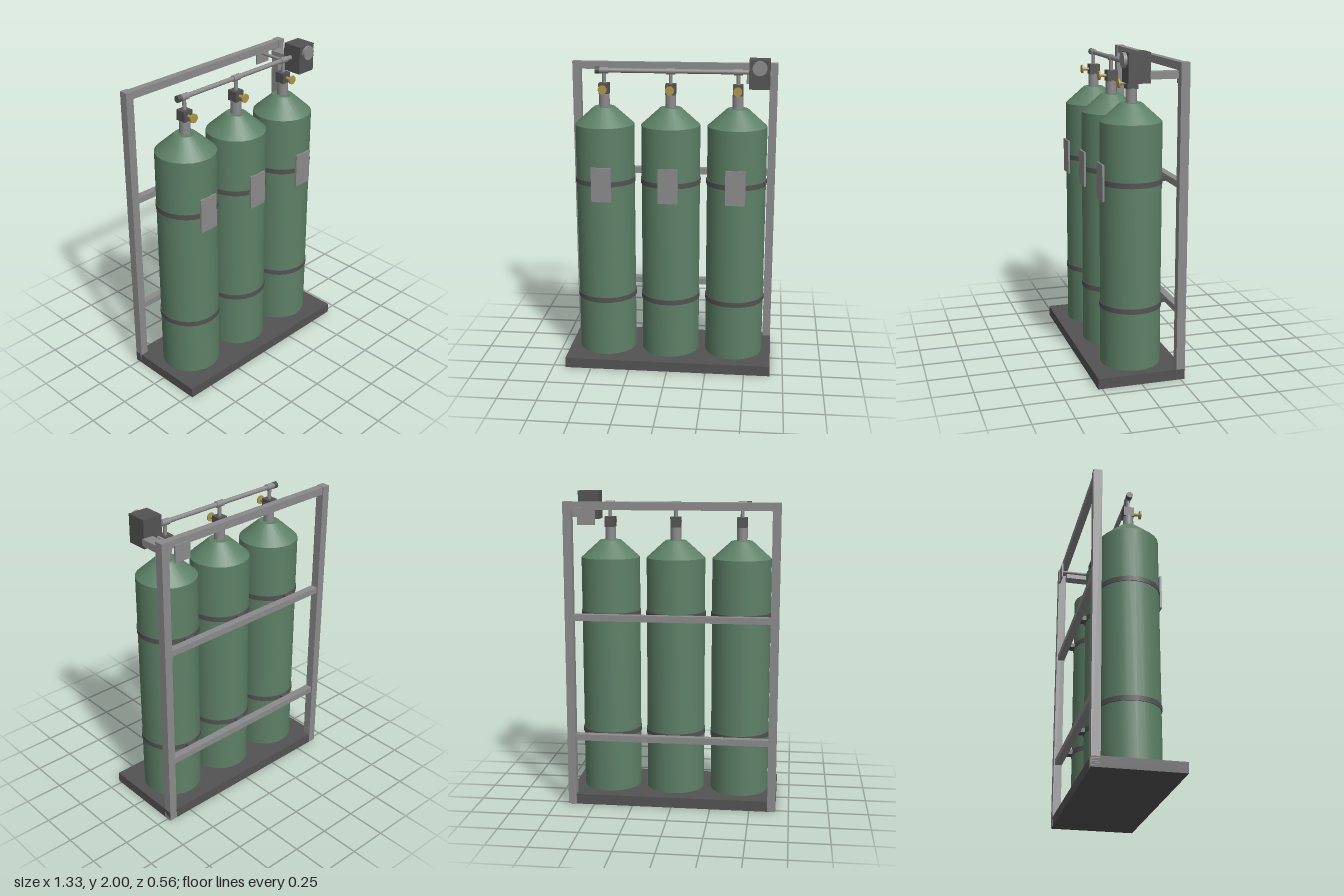
import * as THREE from 'three';
import { toCreasedNormals } from 'three/addons/utils/BufferGeometryUtils.js';

export function createModel() {
  const root = new THREE.Group();
  root.name = 'gasCylinderRack';

  const mat = (name, color) => {
    const m = new THREE.MeshStandardMaterial({ color });
    m.name = name;
    return m;
  };
  const green = mat('green paint', 0x5d8067);
  const steel = mat('grey steel', 0x8b8b8b);
  const dark = mat('dark steel', 0x535353);
  const brass = mat('brass', 0xae9746);

  const add = (parent, name, geometry, material) => {
    const mesh = new THREE.Mesh(geometry, material);
    mesh.name = name;
    parent.add(mesh);
    return mesh;
  };
  // Box given by its extents on each axis
  const box = (parent, name, material, [x0, x1], [y0, y1], [z0, z1]) => {
    const mesh = add(parent, name, new THREE.BoxGeometry(x1 - x0, y1 - y0, z1 - z0), material);
    mesh.position.set((x0 + x1) / 2, (y0 + y1) / 2, (z0 + z1) / 2);
    return mesh;
  };
  // Round bar along one axis, from a to b; the two other coordinates are in pos
  const rod = (parent, name, material, axis, r, a, b, pos, sides = 16) => {
    const g = new THREE.CylinderGeometry(r, r, b - a, sides);
    if (axis === 'x') g.rotateZ(-Math.PI / 2);
    if (axis === 'z') g.rotateX(Math.PI / 2);
    const mesh = add(parent, name, g, material);
    mesh.position.set(...pos);
    mesh.position[axis] = (a + b) / 2;
    return mesh;
  };

  // Base and rear frame
  const frame = new THREE.Group();
  frame.name = 'frame';
  root.add(frame);
  box(frame, 'base', dark, [-0.667, 0.667], [0, 0.066], [-0.275, 0.275]);
  for (const s of [-1, 1]) {
    const x = [s * 0.667, s * 0.615].sort((a, b) => a - b);
    box(frame, s < 0 ? 'rightPost' : 'leftPost', steel, x, [0.002, 1.942], [-0.277, -0.222]);
  }
  box(frame, 'topRail', steel, [-0.615, 0.615], [1.892, 1.94], [-0.27, -0.226]);
  const strapHeights = [0.446, 1.223];
  for (const y of strapHeights)
    box(frame, 'crossRail', steel, [-0.615, 0.615], [y - 0.02, y + 0.02], [-0.268, -0.222]);

  // Three gas cylinders with straps, tags and valves
  const profile = [[0, 0.066], [0.188, 0.066], [0.188, 1.58], [0.066, 1.69], [0, 1.69]]
    .map(([x, y]) => new THREE.Vector2(x, y));
  const bodyGeometry = toCreasedNormals(new THREE.LatheGeometry(profile, 24), 0.5);
  const pipeY = 1.917;

  for (const x of [-0.421, 0, 0.421]) {
    const unit = new THREE.Group();
    unit.name = 'gasCylinder';
    unit.position.x = x;
    root.add(unit);

    add(unit, 'body', bodyGeometry, green);
    for (const y of strapHeights) {
      rod(unit, 'strap', dark, 'y', 0.193, y - 0.016, y + 0.016, [0, 0, 0], 24);
      box(unit, 'strapBracket', dark, [-0.032, 0.032], [y - 0.014, y + 0.014], [-0.224, -0.185]);
    }
    box(unit, 'tag', steel, [-0.063, 0.063], [1.112, 1.333], [0.183, 0.196]);

    // Valve with its handwheel, and the riser to the manifold
    rod(unit, 'neck', steel, 'y', 0.034, 1.685, 1.775, [0, 0, 0]);
    box(unit, 'valveBody', dark, [-0.032, 0.032], [1.772, 1.838], [-0.035, 0.033]);
    rod(unit, 'valveStem', brass, 'z', 0.01, 0.03, 0.076, [0, 1.806, 0], 12);
    rod(unit, 'handwheel', brass, 'z', 0.028, 0.074, 0.084, [0, 1.806, 0]);
    rod(unit, 'riser', steel, 'y', 0.012, 1.835, pipeY, [0, 0, 0], 12);
    rod(unit, 'tee', steel, 'x', 0.02, -0.028, 0.028, [0, pipeY, 0]);
  }

  // Manifold pipe
  rod(root, 'manifold', steel, 'x', 0.0145, -0.455, 0.5, [0, pipeY, 0]);
  rod(root, 'endCap', dark, 'x', 0.021, -0.477, -0.448, [0, pipeY, 0]);

  // Regulator box with gauge, carried by an arm from the left post
  const regulator = new THREE.Group();
  regulator.name = 'regulator';
  root.add(regulator);
  box(regulator, 'regulatorBox', dark, [0.488, 0.618], [1.822, 2], [-0.055, 0.078]);
  rod(regulator, 'gauge', steel, 'z', 0.045, 0.076, 0.098, [0.553, 1.953, 0], 24);
  box(regulator, 'supportArm', steel, [0.555, 0.627], [1.845, 1.888], [-0.226, -0.05]);
  rod(regulator, 'outletPipe', steel, 'z', 0.01, -0.275, -0.05, [0.517, 1.867, 0], 12);
  box(regulator, 'backPlate', steel, [0.466, 0.575], [1.802, 1.908], [-0.28, -0.27]);

  return root;
}
